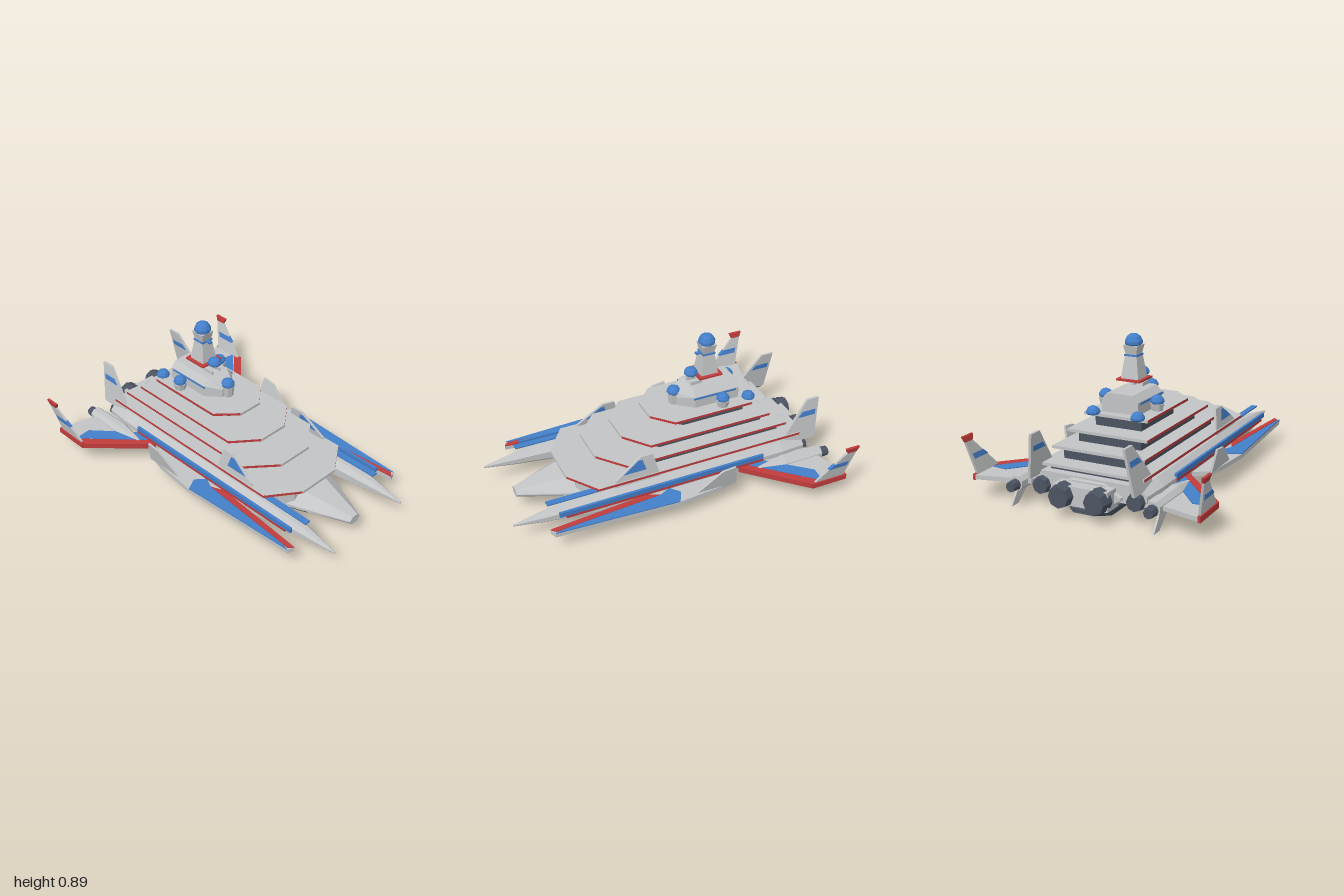
import * as THREE from 'three';

const paint = (name, color) => {
  const m = new THREE.MeshStandardMaterial({ color, flatShading: true });
  m.name = name;
  return m;
};

export function createModel() {
  const ship = new THREE.Group();
  ship.name = 'starship';
  const grey = paint('hull grey', 0xc2c4c5);
  const slate = paint('dark slate', 0x4c5462);
  const blue = paint('blue', 0x447fca);
  const red = paint('red', 0xc03c3c);

  const add = (name, geo, mat, x = 0, y = 0, z = 0) => {
    const m = new THREE.Mesh(geo, mat);
    m.name = name;
    m.position.set(x, y, z);
    ship.add(m);
    return m;
  };
  const box = (name, mat, x0, x1, y0, y1, z0, z1) =>
    add(name, new THREE.BoxGeometry(x1 - x0, y1 - y0, Math.abs(z1 - z0)), mat,
      (x0 + x1) / 2, (y0 + y1) / 2, (z0 + z1) / 2);

  // horizontal plate from an outline of [x, z] points
  const plate = (name, mat, pts, y0, y1, s = 1) => {
    const shape = new THREE.Shape(pts.map(([x, z]) => new THREE.Vector2(x, -z * s)));
    const geo = new THREE.ExtrudeGeometry(shape, { depth: y1 - y0, bevelEnabled: false });
    geo.rotateX(-Math.PI / 2);
    return add(name, geo, mat, 0, y0, 0);
  };

  // upright fin from an outline of [x, y] points, leaning so that z follows y
  const fin = (name, mat, pts, zAt, t, s) => {
    const shape = new THREE.Shape(pts.map(([x, y]) => new THREE.Vector2(x, y)));
    const geo = new THREE.ExtrudeGeometry(shape, { depth: t, bevelEnabled: false });
    const p = geo.attributes.position;
    for (let i = 0; i < p.count; i++) p.setZ(i, p.getZ(i) - t / 2 + s * zAt(p.getY(i)));
    geo.computeVertexNormals();
    return add(name, geo, mat);
  };

  // body along x from rings [x, halfWidth, halfHeight, centreY]
  const loft = (name, mat, rings, profile, z = 0) => {
    const n = profile.length, pos = [], idx = [];
    for (const [x, w, h, y] of rings) for (const [a, b] of profile) pos.push(x, y + b * h, a * w);
    rings.forEach((_, i) => {
      if (i === rings.length - 1) return;
      for (let j = 0; j < n; j++) {
        const a = i * n + j, b = i * n + (j + 1) % n;
        idx.push(a, a + n, b, b, a + n, b + n);
      }
    });
    const e = (rings.length - 1) * n;
    for (let j = 1; j < n - 1; j++) idx.push(0, j, j + 1, e, e + j + 1, e + j);
    let geo = new THREE.BufferGeometry();
    geo.setAttribute('position', new THREE.Float32BufferAttribute(pos, 3));
    geo.setIndex(idx);
    geo = geo.toNonIndexed();
    geo.computeVertexNormals();
    return add(name, geo, mat, 0, 0, z);
  };
  const octagon = [[1, .42], [.42, 1], [-.42, 1], [-1, .42], [-1, -.42], [-.42, -1], [.42, -1], [1, -.42]];
  const wideOct = [[1, .12], [.5, 1], [-.5, 1], [-1, .12], [-1, -.12], [-.5, -1], [.5, -1], [1, -.12]];

  // symmetric deck outline with a chamfered bow
  const deckShape = (x0, x1, chamfer, halfW, bowW) => [
    [x0, -halfW], [x1 - chamfer, -halfW], [x1, -bowW], [x1, bowW], [x1 - chamfer, halfW], [x0, halfW]];

  // central hull, keel and middle platform
  loft('mainHull', grey, [[-.88, .2, .065, .125], [-.8, .23, .08, .125], [.42, .23, .08, .125],
    [.62, .16, .07, .125], [.9, .04, .025, .125]], wideOct);
  loft('keel', slate, [[-.92, .08, .012, .035], [-.84, .16, .035, .045], [.4, .16, .035, .045],
    [.61, .1, .018, .056]], [[1, .5], [.9, 1], [-.9, 1], [-1, .5], [-.8, -1], [.8, -1]]);
  plate('platform', grey, deckShape(-.86, .57, .12, .3, .15), .1, .205);

  // stacked decks: slate walls under slabs with red side edges
  const decks = [
    // rear, bow, chamfer, half width, bow half width, wall base, slab base
    [-.84, .62, .13, .325, .14, .2, .228],
    [-.76, .43, .14, .287, .12, .245, .304],
    [-.66, .25, .12, .25, .1, .32, .378],
    [-.56, .06, .11, .2, .08, .394, .456],
  ];
  for (const [x0, x1, c, w, b, yWall, ySlab] of decks) {
    plate('deckWall', slate, deckShape(x0 + .03, x1 - .1, c * .8, w - .055, b - .01), yWall, ySlab);
    plate('deckSlab', [grey, red], deckShape(x0, x1, c, w, b), ySlab, ySlab + .016);
    box('deckBowEdge', grey, x1 - .002, x1 + .004, ySlab, ySlab + .0165, -b, b);
    box('deckSternEdge', grey, x0 - .004, x0 + .002, ySlab, ySlab + .0165, -w, w);
  }

  // bridge block
  loft('bridge', grey, [[-.51, .115, .055, .528], [-.22, .115, .055, .528], [-.13, .045, .04, .515]],
    [[1, .3], [.7, 1], [-.7, 1], [-1, .3], [-1, -1], [1, -1]]);

  // sensor domes
  const dome = (x, y, z, r, h) => {
    const pts = [[0, 0], [r * .85, 0], [r, h * .15], [r, h * .4], [r * .75, h * .8], [r * .4, h], [0, h]];
    add('sensorDome', new THREE.LatheGeometry(pts.map(p => new THREE.Vector2(...p)), 10), blue, x, y, z);
  };
  const pedestal = (x, y0, y1, z, r) =>
    add('sensorPedestal', new THREE.CylinderGeometry(r, r * .8, y1 - y0, 8), grey, x, (y0 + y1) / 2, z);
  dome(-.13, .54, 0, .042, .045);
  pedestal(-.13, .47, .54, 0, .04);
  dome(-.242, .64, 0, .042, .046);
  pedestal(-.242, .62, .64, 0, .025);

  // tower on a red base, with a large dome
  box('towerBase', red, -.418, -.265, .632, .643, -.076, .076);
  const taper = (name, mat, top, bottom, y0, y1) => {
    const geo = new THREE.CylinderGeometry(top * Math.SQRT2, bottom * Math.SQRT2, y1 - y0, 4);
    geo.rotateY(Math.PI / 4);
    add(name, geo, mat, -.342, (y0 + y1) / 2, 0);
  };
  taper('towerLower', grey, .037, .055, .643, .77);
  taper('towerBand', blue, .04, .04, .77, .78);
  taper('towerUpper', grey, .045, .034, .78, .832);
  box('towerAntenna', blue, -.31, -.27, .772, .782, -.012, .012);
  dome(-.342, .83, 0, .051, .063);

  // stern engine block
  box('engineBlock', grey, -.95, -.84, .07, .18, -.165, .165);

  // everything that comes in pairs
  for (const s of [1, -1]) {
    dome(-.565, .467, s * .14, .04, .045);
    dome(-.377, .52, s * .165, .04, .045);
    pedestal(-.377, .48, .52, s * .165, .042);
    box('bridgeStripe', blue, -.49, -.21, .53, .541, s * .113, s * .119);
    box('bridgePost', grey, -.3, -.23, .58, .604, s * .025, s * .035);

    const nozzle = (x, r, len, z) => {
      const geo = new THREE.CylinderGeometry(r, r * .85, len, 8);
      geo.rotateZ(-Math.PI / 2);
      add('engineNozzle', geo, slate, x, .125, s * z);
    };
    nozzle(-.96, .072, .08, .108);
    nozzle(-.95, .034, .07, .42);
    nozzle(-.87, .055, .05, .29);

    // long side hull with painted stripes
    loft('sideHull', grey, [[-.86, .06, .055, .135], [-.7, .083, .075, .14], [.4, .083, .075, .14],
      [.8, .036, .035, .135], [1, .004, .006, .13]], octagon, s * .29);
    box('sideStripeBlue', blue, -.56, .75, .165, .195, s * .362, s * .378);
    box('sideStripeRed', red, -.56, .71, .15, .165, s * .362, s * .379);
    box('sideHullTopStripe', blue, .38, .8, .214, .222, s * .272, s * .31);

    // swept rear wing
    plate('rearWing', grey, [[-.87, .36], [-.42, .36], [-.74, .68], [-.95, .68]], .117, .143, s);
    plate('wingLeadingEdge', red, [[-.44, .36], [-.38, .36], [-.715, .69], [-.79, .69]], .113, .147, s);
    plate('wingPanel', blue, [[-.56, .37], [-.45, .37], [-.79, .68], [-.8, .58]], .142, .148, s);
    box('wingTip', red, -.95, -.72, .113, .147, s * .678, s * .695);

    // winglet
    const wz = y => .68 + (y - .145) * .2;
    fin('winglet', grey, [[-.93, .14], [-.73, .14], [-.915, .335], [-.975, .335]], wz, .014, s);
    fin('wingletTip', red, [[-.975, .335], [-.915, .335], [-.9, .368], [-.99, .368]], wz, .016, s);
    fin('wingletPanel', blue, [[-.93, .23], [-.81, .23], [-.845, .262], [-.94, .262]], wz, .02, s);

    // wing pod with a fin below
    loft('wingPod', grey, [[-.93, .04, .04, .13], [-.67, .045, .045, .13], [-.47, .012, .012, .13]],
      octagon, s * .42);
    fin('ventralFin', grey, [[-.96, .005], [-.9, .005], [-.78, .1], [-.89, .1]], () => .435, .012, s);

    // forward wing
    plate('forwardWing', grey, [[-.37, .36], [-.3, .46], [-.22, .48], [.05, .505], [.81, .465],
      [.825, .425], [.1, .36]], .113, .14, s);
    plate('forwardWingPanel', blue, [[.07, .37], [.02, .43], [.06, .505], [.81, .465], [.77, .453],
      [.14, .405]], .139, .145, s);
    plate('forwardWingEdge', red, [[.14, .403], [.8, .453], [.826, .425], [.22, .37]], .139, .146, s);
    fin('forwardWingFin', grey, [[-.32, .135], [-.06, .135], [-.215, .265], [-.3, .275]],
      y => .47 + (y - .135) * .2, .014, s);

    // dorsal fins fore and aft
    const lean = y => .315 - (y - .2) * .14;
    fin('tailFin', grey, [[-.95, .18], [-.74, .18], [-.75, .25], [-.9, .445], [-.98, .445]], lean, .016, s);
    fin('tailFinPanel', blue, [[-.95, .34], [-.835, .34], [-.865, .372], [-.955, .372]], lean, .024, s);
    fin('bowFin', grey, [[.1, .2], [.4, .2], [.38, .255], [.22, .37], [.14, .37]], lean, .016, s);
    fin('bowFinPanel', blue, [[.19, .285], [.33, .285], [.235, .352], [.21, .352]], lean, .024, s);
  }
  return ship;
}
